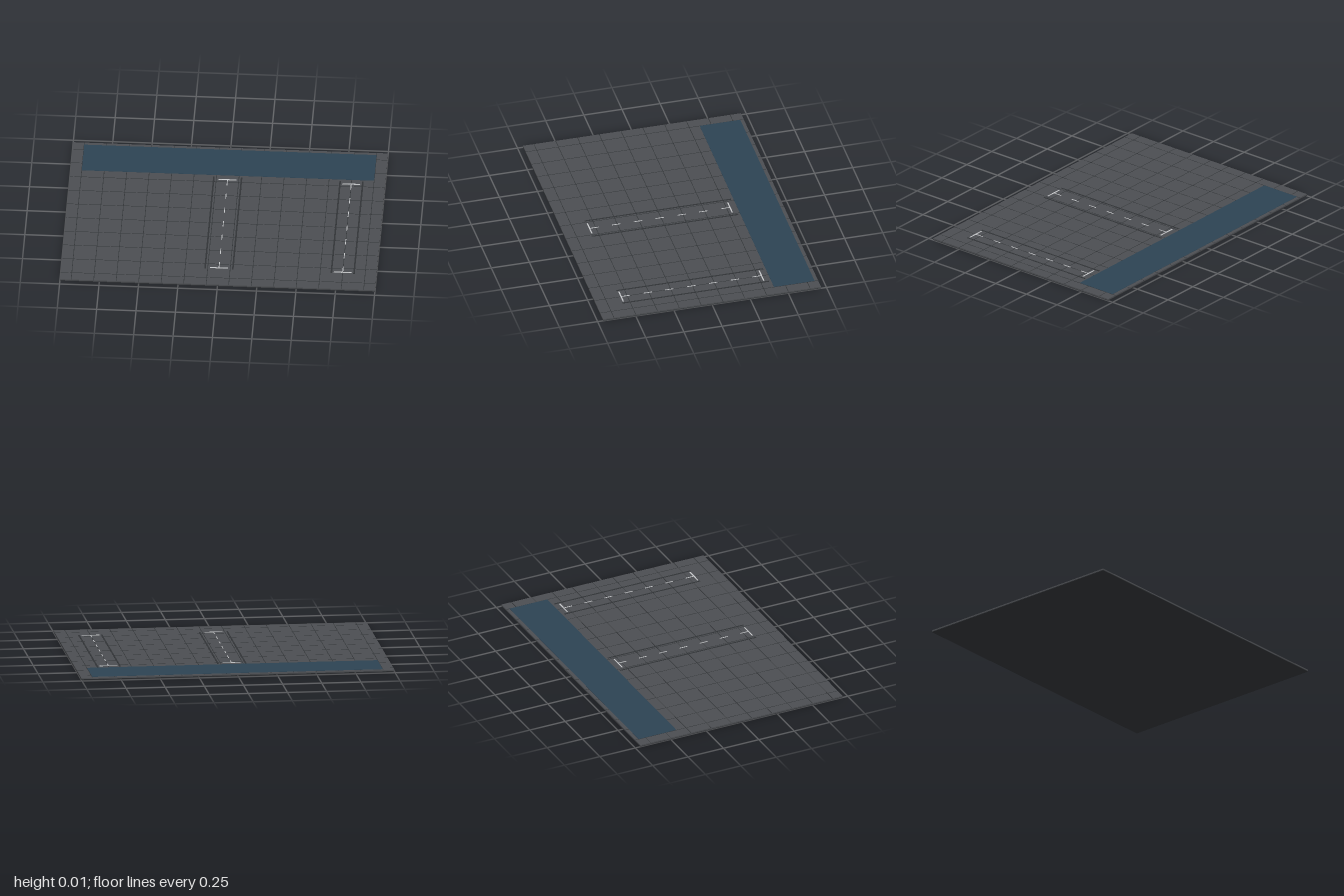
import * as THREE from 'three';

export function createModel() {
  const group = new THREE.Group();
  const mat = (name, color) => {
    const m = new THREE.MeshStandardMaterial({ color });
    m.name = name;
    return m;
  };
  const ground = mat('asphalt grey', 0x4b4d51);
  const dark = mat('seam dark grey', 0x303336);
  const water = mat('water blue', 0x2c4252);
  const paint = mat('paint light grey', 0xc4c6c8);

  // Box given by its centre in plan, plan size, bottom and top
  const slab = (name, material, x, z, w, d, y0, y1, parent = group) => {
    const mesh = new THREE.Mesh(new THREE.BoxGeometry(w, y1 - y0, d), material);
    mesh.position.set(x, (y0 + y1) / 2, z);
    mesh.name = name;
    parent.add(mesh);
  };

  const W = 2, D = 10 / 7, TOP = 0.012, U = 1 / 14;

  // Ground plate on a dark underside
  slab('base', dark, 0, 0, W, D, 0, 0.004);
  slab('ground', ground, 0, 0, W, D, 0.004, TOP);

  // Paving seams on a regular square grid
  const seams = new THREE.Group();
  seams.name = 'pavingSeams';
  group.add(seams);
  for (let i = -13; i <= 13; i += 2)
    slab('lengthSeam', dark, i * U, 0, 0.004, D, TOP, TOP + 0.0005, seams);
  for (let i = -9; i <= 9; i += 2)
    slab('crossSeam', dark, 0, i * U, W, 0.004, TOP, TOP + 0.0005, seams);

  // Water strip along the back
  slab('water', water, 0, -0.558, 1.856, 0.266, TOP, TOP + 0.0015);

  // Runways: dark edge rails, end bars and dashed centre line
  const runway = (name, x, halfWidth, barWidth) => {
    const g = new THREE.Group();
    g.name = name;
    g.position.set(x, 0, 0.08);
    group.add(g);
    for (const s of [-1, 1]) {
      slab('edgeRail', dark, s * halfWidth, -0.01, 0.01, 0.96, TOP, TOP + 0.0015, g);
      slab('endBar', paint, 0, s * 0.46, barWidth, 0.008, TOP, TOP + 0.0022, g);
    }
    for (let i = -3; i <= 3; i++)
      slab('centreDash', paint, 0, i / 7, 0.005, 0.055, TOP, TOP + 0.0022, g);
  };
  runway('centreRunway', 0, 0.088, 0.114);
  runway('sideRunway', 11 * U, 0.072, 0.114);

  return group;
}
